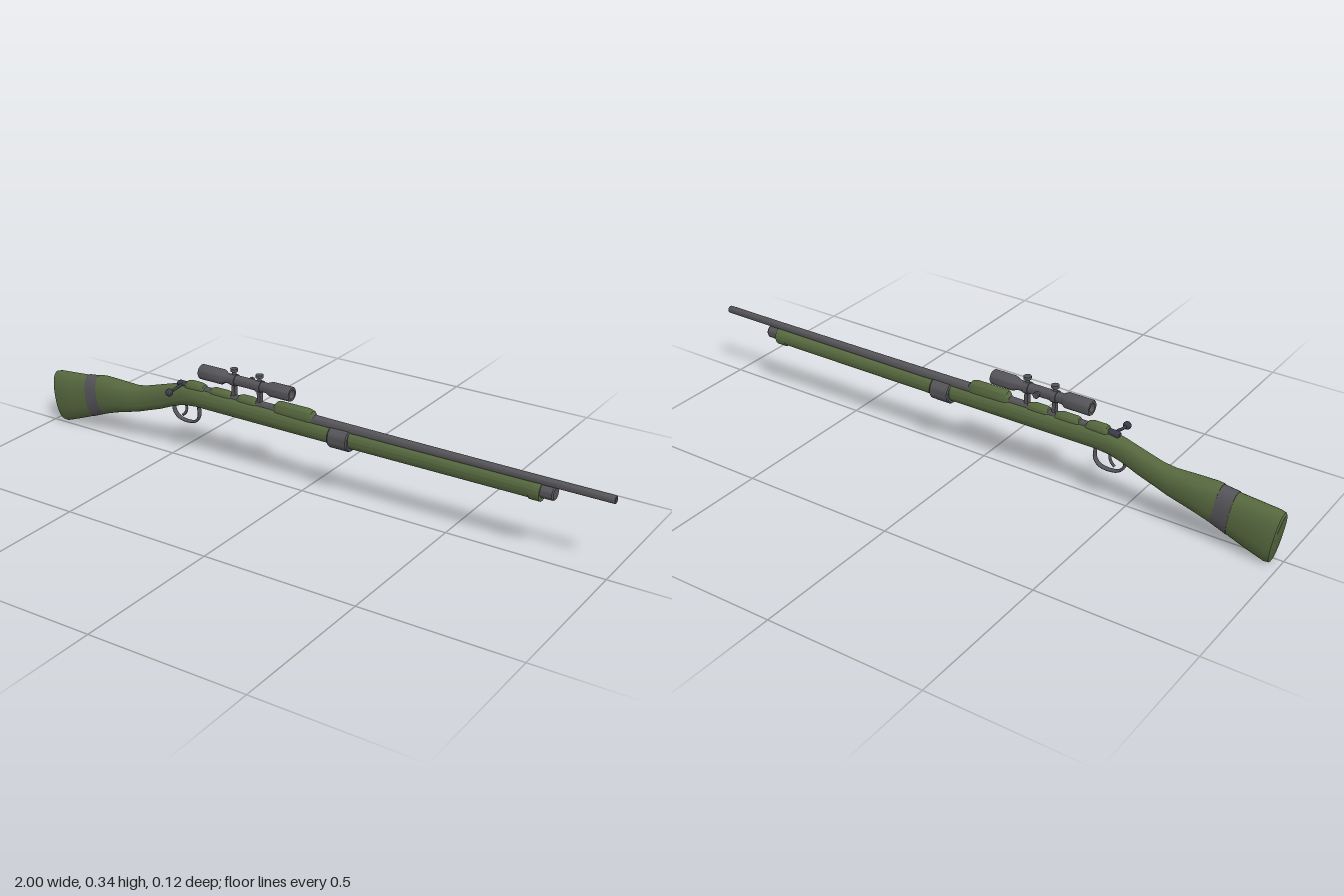
import * as THREE from 'three';
import { toCreasedNormals } from 'three/addons/utils/BufferGeometryUtils.js';

const green = new THREE.MeshStandardMaterial({ color: 0x56683f });
const grey = new THREE.MeshStandardMaterial({ color: 0x545458 });
const dark = new THREE.MeshStandardMaterial({ color: 0x3a3a46 });

export function createModel() {
  const model = new THREE.Group();

  function add(name, geometry, material, x = 0, y = 0, z = 0) {
    const mesh = new THREE.Mesh(geometry, material);
    mesh.name = name;
    mesh.position.set(x, y, z);
    model.add(mesh);
    return mesh;
  }

  // Skin over rounded sections: [x, top, bottom, halfWidth, lean of the bottom edge along x]
  function loft(stations, power = 0.9, n = 32) {
    const pos = [], idx = [];
    const bend = (v) => Math.sign(v) * Math.abs(v) ** power;
    for (const [x, top, bottom, half, lean = 0] of stations) {
      for (let j = 0; j < n; j++) {
        const a = (j / n) * Math.PI * 2;
        const c = bend(Math.cos(a));
        pos.push(x + lean * (1 - c) / 2, (top + bottom) / 2 + c * (top - bottom) / 2, bend(Math.sin(a)) * half);
      }
    }
    const last = stations.length - 1;
    for (let i = 0; i < last; i++) {
      for (let j = 0; j < n; j++) {
        const a = i * n + j, b = i * n + (j + 1) % n;
        idx.push(a, b, a + n, b, b + n, a + n);
      }
    }
    // Flat caps at both ends
    for (const i of [0, last]) {
      const [x, top, bottom, , lean = 0] = stations[i];
      const centre = pos.length / 3;
      pos.push(x + lean / 2, (top + bottom) / 2, 0);
      for (let j = 0; j < n; j++) {
        const a = i * n + j, b = i * n + (j + 1) % n;
        idx.push(centre, ...(i === 0 ? [b, a] : [a, b]));
      }
    }
    const g = new THREE.BufferGeometry();
    g.setAttribute('position', new THREE.Float32BufferAttribute(pos, 3));
    g.setIndex(idx);
    return toCreasedNormals(g, 0.6);
  }

  // Turned part along x from [x, radius] points
  function turned(points, segments = 28) {
    const g = new THREE.LatheGeometry(points.map(([x, r]) => new THREE.Vector2(r, x)), segments);
    g.rotateZ(-Math.PI / 2);
    return toCreasedNormals(g, 0.6);
  }

  function tube(points, radius, segments = 32) {
    const curve = new THREE.CatmullRomCurve3(points.map((p) => new THREE.Vector3(...p)));
    return new THREE.TubeGeometry(curve, segments, radius, 10);
  }

  // Butt, its band, and the stock running through the grip to the fore-end
  add('butt', loft([
    [-1, 0.163, 0.01, 0.028, 0.027],
    [-0.996, 0.17, 0.002, 0.034, 0.027],
    [-0.98, 0.174, 0.001, 0.037, 0.026],
    [-0.92, 0.179, 0.022, 0.037, 0.024],
    [-0.85, 0.185, 0.048, 0.035, 0.02],
  ]), green);
  add('buttBand', loft([
    [-0.857, 0.187, 0.044, 0.036, 0.02],
    [-0.805, 0.193, 0.065, 0.036, 0.02],
  ]), grey);
  add('stock', loft([
    [-0.81, 0.195, 0.063, 0.036, 0.02],
    [-0.79, 0.197, 0.07, 0.037, 0.018],
    [-0.74, 0.196, 0.085, 0.036, 0.015],
    [-0.66, 0.194, 0.105, 0.03, 0.012],
    [-0.62, 0.2, 0.118, 0.026, 0.01],
    [-0.56, 0.218, 0.137, 0.025, 0.006],
    [-0.5, 0.236, 0.16, 0.025],
    [-0.46, 0.245, 0.173, 0.026],
    [-0.41, 0.247, 0.179, 0.027],
    [-0.1, 0.243, 0.178, 0.027],
    [0.1, 0.236, 0.178, 0.027],
    [0.75, 0.23, 0.178, 0.025],
    [0.752, 0.231, 0.174, 0.026],
    [0.785, 0.231, 0.174, 0.026],
  ]), green);
  add('foreBand', turned([[0.095, 0], [0.095, 0.033], [0.099, 0.036], [0.161, 0.036], [0.165, 0.033], [0.165, 0]]),
    grey, 0, 0.203);
  add('noseCap', turned([[0.78, 0], [0.78, 0.021], [0.821, 0.021], [0.825, 0.018], [0.825, 0]]), grey, 0, 0.207);

  // Tapered barrel with a shallow bore
  add('barrel', turned([[-0.05, 0], [-0.05, 0.018], [0.1, 0.016], [0.4, 0.014], [0.8, 0.012],
    [0.998, 0.012], [1, 0.011], [1, 0.006], [0.96, 0.006], [0.96, 0]]), grey, 0, 0.237);

  // Receiver humps: three rear pieces and the longer front bridge
  const humps = [[-0.45, -0.37, 0.262, 0.017], [-0.355, -0.265, 0.259, 0.016],
    [-0.25, -0.17, 0.259, 0.016], [-0.11, 0.035, 0.269, 0.018]];
  humps.forEach(([x0, x1, top, half], i) => add('receiverHump' + (i + 1), loft([
    [x0, top - 0.014, 0.215, half * 0.7],
    [x0 + 0.008, top - 0.003, 0.215, half * 0.95],
    [x0 + 0.018, top, 0.215, half],
    [x1 - 0.025, top, 0.215, half],
    [x1 - 0.008, top - 0.005, 0.215, half * 0.95],
    [x1, top - 0.016, 0.215, half * 0.7],
  ], 0.7), green));
  add('receiverRail', loft([[-0.44, 0.252, 0.22, 0.013], [-0.05, 0.252, 0.22, 0.013]], 0.7), grey);

  // Bolt with curved handle and ball knob
  add('bolt', turned([[-0.482, 0], [-0.482, 0.008], [-0.476, 0.012], [-0.43, 0.012], [-0.43, 0]]), dark, 0, 0.242);
  add('boltHandle', tube([[-0.462, 0.243, 0], [-0.463, 0.243, 0.022], [-0.465, 0.239, 0.04], [-0.465, 0.237, 0.07]],
    0.0045), dark);
  add('boltKnob', new THREE.SphereGeometry(0.0125, 20, 14), dark, -0.465, 0.237, 0.07);

  // Trigger guard and trigger
  const guard = tube([[-0.503, 0.167, 0], [-0.5, 0.145, 0], [-0.483, 0.126, 0], [-0.452, 0.119, 0],
    [-0.418, 0.125, 0], [-0.403, 0.145, 0], [-0.404, 0.183, 0]], 0.0045, 40);
  guard.scale(1, 1, 1.9);
  add('triggerGuard', guard, grey);
  add('trigger', tube([[-0.455, 0.18, 0], [-0.452, 0.16, 0], [-0.458, 0.145, 0], [-0.468, 0.135, 0]], 0.0045, 16), grey);

  // Hollow scope tube, open from end to end
  const scopeY = 0.302;
  add('scope', turned([[-0.388, 0.014], [-0.388, 0.022], [-0.385, 0.024], [-0.305, 0.024], [-0.292, 0.016],
    [-0.14, 0.016], [-0.122, 0.023], [-0.052, 0.023], [-0.049, 0.021], [-0.049, 0.014], [-0.388, 0.014]], 36),
  grey, 0, scopeY);
  for (const x of [-0.263, -0.168]) {
    add('scopeRing', turned([[-0.009, 0.0145], [-0.009, 0.019], [0.009, 0.019], [0.009, 0.0145]]), grey, x, scopeY);
    add('scopeMount', new THREE.BoxGeometry(0.012, 0.042, 0.015), grey, x, 0.266);
    add('knobStem', new THREE.CylinderGeometry(0.006, 0.007, 0.018, 16), grey, x, 0.324);
    add('knobCap', new THREE.CylinderGeometry(0.012, 0.012, 0.009, 20), grey, x, 0.335);
  }
  // Side adjustment knob
  const stem = new THREE.CylinderGeometry(0.007, 0.007, 0.012, 16).rotateX(Math.PI / 2);
  add('sideKnobStem', stem, grey, -0.215, scopeY, -0.02);
  const knob = new THREE.CylinderGeometry(0.01, 0.01, 0.007, 20).rotateX(Math.PI / 2);
  add('sideKnob', knob, grey, -0.215, scopeY, -0.027);

  model.position.z = -0.021;
  const root = new THREE.Group();
  root.name = 'rifle';
  root.add(model);
  return root;
}
